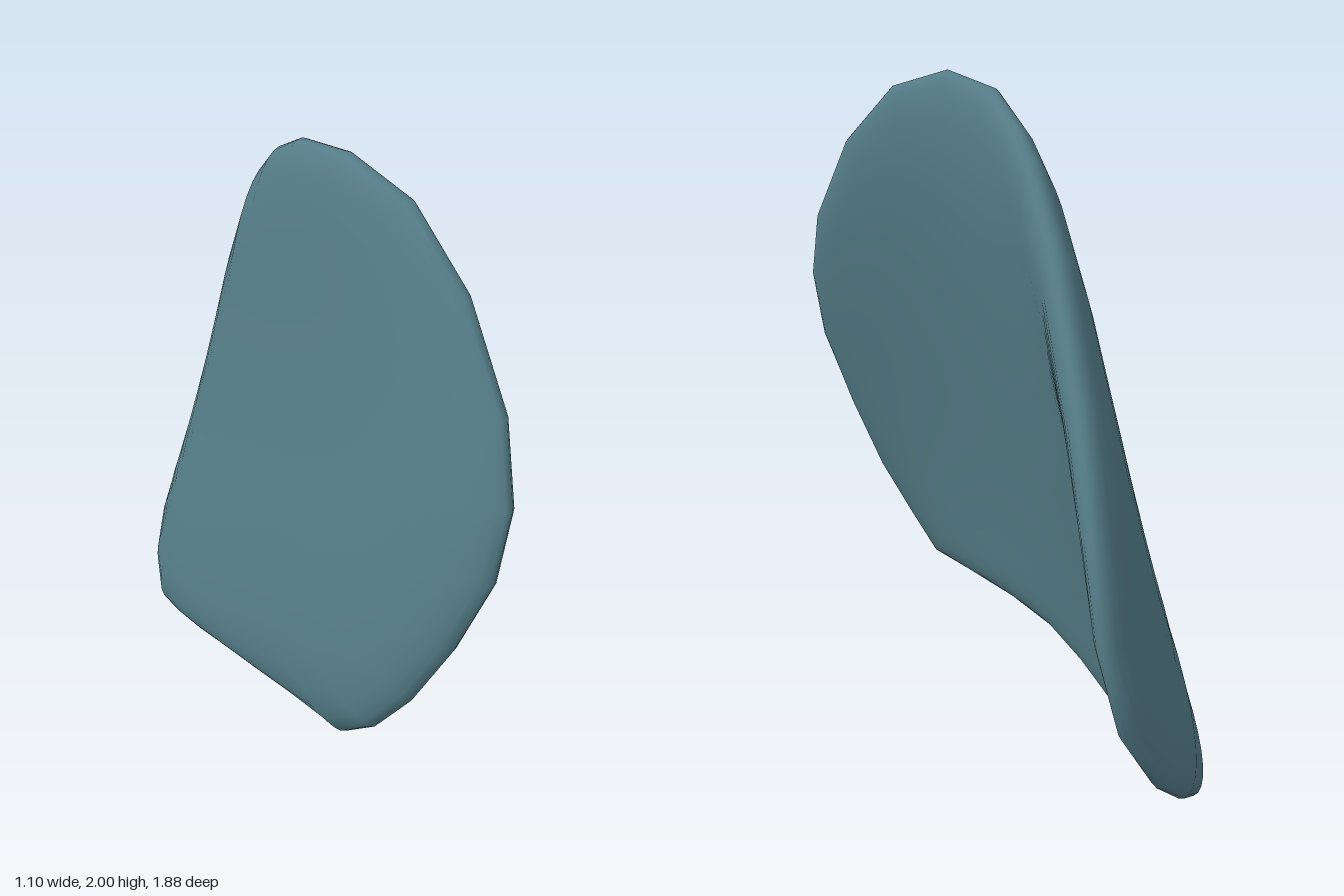
import * as THREE from 'three';

// Rim of the curved plate, as [x, y, z], counterclockwise seen from +x
const RIM = [
  [-0.19, 2.0, 0.22], [-0.21, 1.95, 0.45], [-0.25, 1.78, 0.67], [-0.31, 1.53, 0.85],
  [-0.38, 1.33, 0.935], [-0.43, 1.12, 0.93], [-0.48, 0.89, 0.85], [-0.51, 0.67, 0.74],
  [-0.53, 0.52, 0.63], [-0.5, 0.4, 0.5], [-0.44, 0.37, 0.3], [-0.4, 0.33, 0.1],
  [-0.35, 0.28, -0.1], [-0.29, 0.21, -0.25], [-0.2, 0.11, -0.45], [-0.1, 0.0, -0.64],
  [-0.02, 0.01, -0.74], [0.14, 0.06, -0.87], [0.28, 0.11, -0.92], [0.41, 0.18, -0.93],
  [0.52, 0.33, -0.89], [0.55, 0.55, -0.84], [0.49, 0.84, -0.76], [0.36, 1.12, -0.63],
  [0.15, 1.53, -0.4], [0.03, 1.75, -0.24], [-0.03, 1.84, -0.15], [-0.13, 1.95, 0.01],
].map(p => new THREE.Vector3(...p));
const AROUND = RIM.length, RINGS = 16, HALF_THICKNESS = 0.075;
const BULGE = new THREE.Vector3(-0.085, 0, -0.16);

// Smooth sheet spanning the rim: a harmonic blend of the rim points, bulged outwards
function sheetPoint(r, k) {
  const point = BULGE.clone().multiplyScalar(1 - r * r);
  RIM.forEach((p, j) => {
    const angle = ((k - j) / AROUND) * Math.PI * 2;
    let weight = 1 + r ** (AROUND / 2) * Math.cos((AROUND / 2) * angle);
    for (let n = 1; n < AROUND / 2; n++) weight += 2 * r ** n * Math.cos(n * angle);
    point.addScaledVector(p, weight / AROUND);
  });
  return point;
}

// Triangles of a disc: a centre vertex, then rings of AROUND vertices
function discIndex(ringStart, flip) {
  const index = [];
  const tri = (a, b, c) => (flip ? index.push(a, c, b) : index.push(a, b, c));
  for (let k = 0; k < AROUND; k++) {
    const n = (k + 1) % AROUND;
    tri(ringStart(0), ringStart(1) + k, ringStart(1) + n);
    for (let i = 1; i < RINGS; i++) {
      const a = ringStart(i), b = ringStart(i + 1);
      tri(a + k, b + k, b + n);
      tri(a + k, b + n, a + n);
    }
  }
  return index;
}

function makeGeometry(points, index) {
  const g = new THREE.BufferGeometry().setFromPoints(points);
  g.setIndex(index);
  g.computeVertexNormals();
  return g;
}

function plateGeometry() {
  const start = i => (i === 0 ? 0 : 1 + (i - 1) * AROUND);

  // Middle sheet, denser towards the rim
  const mid = [sheetPoint(0, 0)], half = [HALF_THICKNESS];
  for (let i = 1; i <= RINGS; i++) {
    const r = Math.sin((i / RINGS) * Math.PI / 2);
    for (let k = 0; k < AROUND; k++) {
      mid.push(sheetPoint(r, k));
      half.push(HALF_THICKNESS * Math.sqrt(Math.max(0, 1 - r ** 8)));
    }
  }
  const normals = makeGeometry(mid, discIndex(start, false)).attributes.normal;

  // Inner and outer faces pushed off the sheet, sharing the rim ring
  const shift = (p, j, sign) =>
    p.clone().addScaledVector(new THREE.Vector3().fromBufferAttribute(normals, j), sign * half[j]);
  const inner = mid.map((p, j) => shift(p, j, 1));
  const outer = mid.slice(0, start(RINGS)).map((p, j) => shift(p, j, -1));
  const outerStart = i => (i === RINGS ? start(RINGS) : inner.length + start(i));
  const g = makeGeometry([...inner, ...outer],
    [...discIndex(start, false), ...discIndex(outerStart, true)]);

  // Stand on the ground, centred
  g.center();
  g.computeBoundingBox();
  g.translate(0, -g.boundingBox.min.y, 0);
  return g;
}

export function createModel() {
  const group = new THREE.Group();
  group.name = 'curvedShell';
  const plate = new THREE.Mesh(plateGeometry(), new THREE.MeshStandardMaterial({ color: 0x557d88 }));
  plate.name = 'curvedPlate';
  group.add(plate);
  return group;
}
